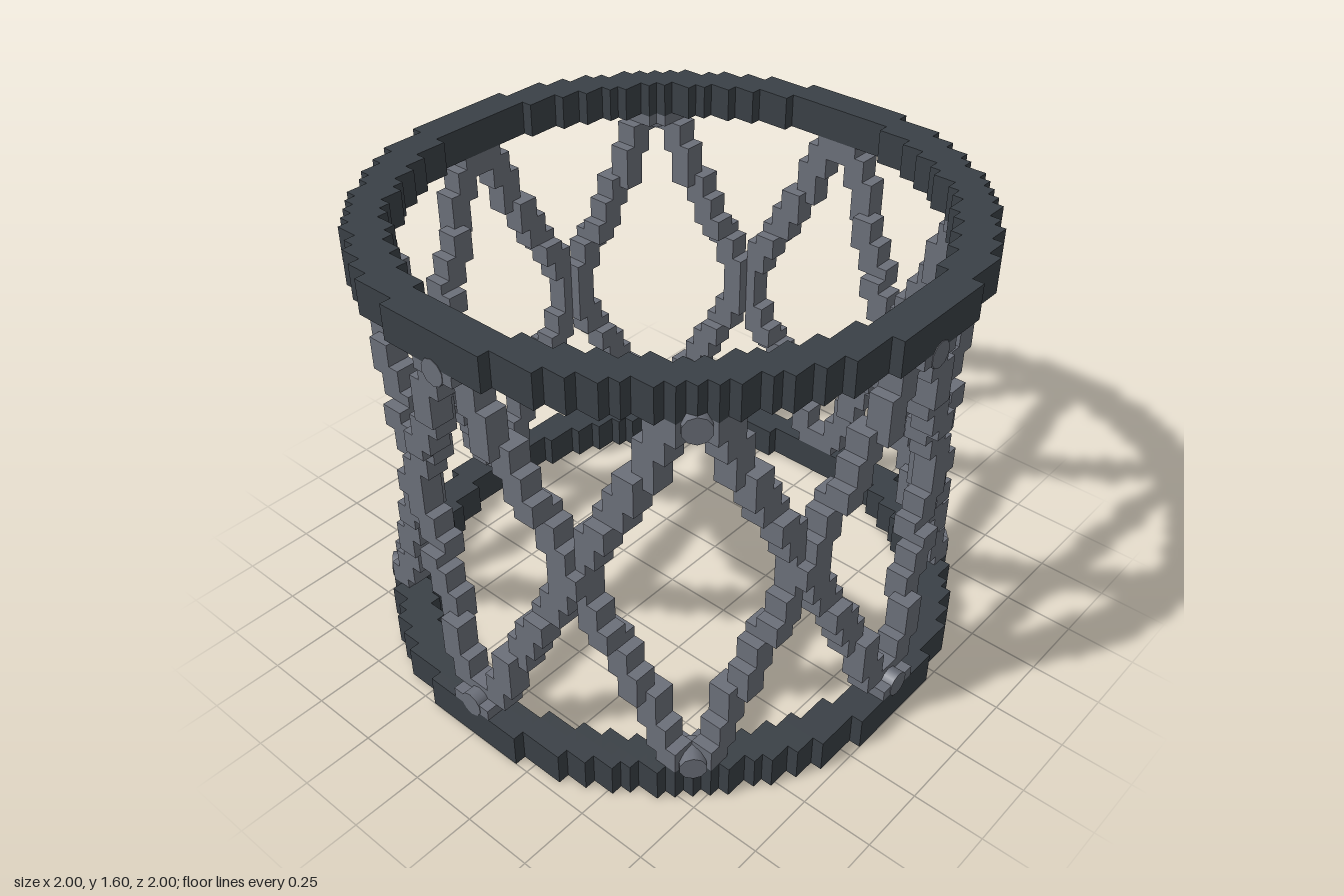
import * as THREE from 'three';

const V = 0.04;               // block size
const LAYERS = 40, RING = 3;  // total height and ring height in blocks

// Surface of a set of blocks: only faces with no neighbouring block are built
function blockGeometry(cells) {
  const pos = [], nor = [], idx = [];
  for (const key of cells) {
    const c = key.split(',').map(Number);
    for (let axis = 0; axis < 3; axis++) {
      for (const s of [-1, 1]) {
        const n = [0, 0, 0];
        n[axis] = s;
        if (cells.has(c.map((v, i) => v + n[i]).join())) continue;
        const u = (axis + 1) % 3, w = (axis + 2) % 3, base = pos.length / 3;
        for (const [a, b] of [[0, 0], [1, 0], [1, 1], [0, 1]]) {
          const p = c.slice();
          if (s > 0) p[axis]++;
          p[u] += a;
          p[w] += b;
          pos.push(p[0] * V, p[1] * V, p[2] * V);
          nor.push(...n);
        }
        const q = s > 0 ? [0, 1, 2, 0, 2, 3] : [0, 2, 1, 0, 3, 2];
        idx.push(...q.map(i => base + i));
      }
    }
  }
  const g = new THREE.BufferGeometry();
  g.setAttribute('position', new THREE.Float32BufferAttribute(pos, 3));
  g.setAttribute('normal', new THREE.Float32BufferAttribute(nor, 3));
  g.setIndex(idx);
  return g;
}

// Blocks of a flat annulus, bottom layer at y0
function ringCells(y0) {
  const cells = new Set();
  for (let x = -25; x < 25; x++) {
    for (let z = -25; z < 25; z++) {
      const r = Math.hypot(x + 0.5, z + 0.5) * V;
      if (r > 1 || r < 0.88) continue;
      for (let y = y0; y < y0 + RING; y++) cells.add([x, y, z].join());
    }
  }
  return cells;
}

// One straight strut drawn with a 2x2x2 brush, then mirrored into all octants
function latticeCells() {
  const cells = new Set();
  const from = new THREE.Vector3(0, 1.54, 0.96);
  const to = new THREE.Vector3(0.68, 0.06, 0.68);
  const p = new THREE.Vector3();
  const flip = (v, on) => (on ? -1 - v : v);
  for (let i = 0; i <= 40; i++) {
    p.lerpVectors(from, to, i / 40).divideScalar(V).round();
    for (let k = 0; k < 8; k++) {
      const x = p.x - (k & 1), y = p.y - ((k >> 1) & 1), z = p.z - (k >> 2);
      if (y < RING || y >= LAYERS - RING) continue;
      for (let m = 0; m < 16; m++) {
        const [a, b] = m & 1 ? [z, x] : [x, z];
        cells.add([flip(a, m & 2), m & 8 ? LAYERS - 1 - y : y, flip(b, m & 4)].join());
      }
    }
  }
  return cells;
}

export function createModel() {
  const model = new THREE.Group();
  model.name = 'latticeDrum';
  const darkSteel = new THREE.MeshStandardMaterial({ color: 0x3a4046 });
  darkSteel.name = 'darkSteel';
  const greySteel = new THREE.MeshStandardMaterial({ color: 0x6b6f79 });
  greySteel.name = 'greySteel';

  const add = (name, geometry, material) => {
    const mesh = new THREE.Mesh(geometry, material);
    mesh.name = name;
    model.add(mesh);
    return mesh;
  };

  // End rings and crossing struts
  add('bottomRing', blockGeometry(ringCells(0)), darkSteel);
  add('topRing', blockGeometry(ringCells(LAYERS - RING)), darkSteel);
  add('latticeStruts', blockGeometry(latticeCells()), greySteel);

  // Small pins where the struts meet the rings
  const pin = new THREE.CylinderGeometry(0.045, 0.045, 0.1, 10).toNonIndexed();
  pin.rotateX(Math.PI / 2);
  for (let i = 0; i < 8; i++) {
    const a = i * Math.PI / 4, r = i % 2 ? 0.974 : 0.952;
    for (const y of [0.14, 1.46]) {
      const mesh = add('jointPin', pin, greySteel);
      mesh.position.set(Math.sin(a) * r, y, Math.cos(a) * r);
      mesh.rotation.y = a;
    }
  }
  return model;
}
